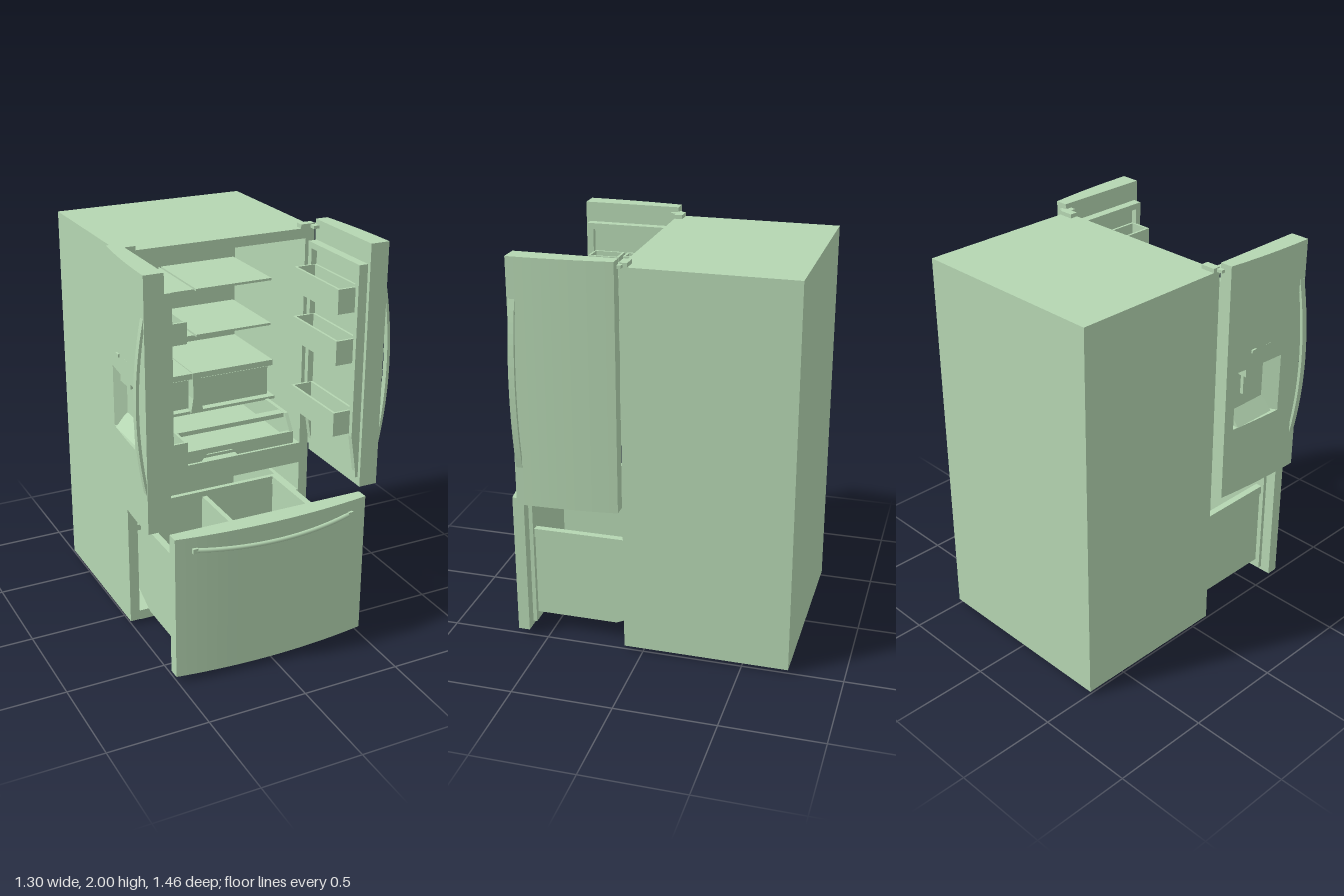
import * as THREE from 'three';

const mat = new THREE.MeshStandardMaterial({ color: 0xb5d6b2 });

function add(parent, name, geo) {
  const m = new THREE.Mesh(geo, mat);
  m.name = name;
  parent.add(m);
  return m;
}

function group(parent, name) {
  const g = new THREE.Group();
  g.name = name;
  parent.add(g);
  return g;
}

// Box given by its limits on each axis (any order)
function box(parent, name, x0, x1, y0, y1, z0, z1) {
  const g = new THREE.BoxGeometry(Math.abs(x1 - x0), Math.abs(y1 - y0), Math.abs(z1 - z0));
  return add(parent, name, g.translate((x0 + x1) / 2, (y0 + y1) / 2, (z0 + z1) / 2));
}

const extrude = (pts, depth) => new THREE.ExtrudeGeometry(
  new THREE.Shape(pts.map(p => new THREE.Vector2(p[0], p[1]))), { depth, bevelEnabled: false });

// Prisms: plan [x,z] raised along y, profile [z,y] along x, profile [x,y] along z
const prismY = (p, n, pts, y0, y1) =>
  add(p, n, extrude(pts.map(q => [q[0], -q[1]]), y1 - y0).rotateX(-Math.PI / 2).translate(0, y0, 0));
const prismX = (p, n, pts, x0, x1) =>
  add(p, n, extrude(pts, x1 - x0).rotateY(-Math.PI / 2).translate(x1, 0, 0));
const prismZ = (p, n, pts, z0, z1) =>
  add(p, n, extrude(pts, z1 - z0).translate(0, 0, z0));

// Open-topped bin
function tray(parent, name, x0, x1, y0, y1, z0, z1, t = 0.012) {
  const g = group(parent, name);
  box(g, 'floor', x0, x1, y0, y0 + t, z0, z1);
  box(g, 'sideA', x0, x0 + t, y0 + t, y1, z0, z1);
  box(g, 'sideB', x1 - t, x1, y0 + t, y1, z0, z1);
  box(g, 'back', x0 + t, x1 - t, y0 + t, y1, z0, z0 + t);
  box(g, 'front', x0 + t, x1 - t, y0 + t, y1, z1 - t, z1);
  return g;
}

const steps = (n, f) => Array.from({ length: n + 1 }, (_, i) => f(i / n));

function buildCabinet(root) {
  const g = group(root, 'cabinet');
  for (const s of [-1, 1]) {
    box(g, 'sideWall', s * 0.455, s * 0.505, 0.02, 1.96, -0.73, 0.095);
    box(g, 'topHinge', s * 0.43, s * 0.505, 1.96, 1.98, 0.055, 0.095);
    box(g, 'hingePin', s * 0.48, s * 0.535, 1.96, 1.975, 0.075, 0.13);
    box(g, 'drawerRunner', s * 0.435, s * 0.455, 0.53, 0.56, -0.6, 0.09);
  }
  box(g, 'topWall', -0.455, 0.455, 1.91, 1.96, -0.73, 0.095);
  box(g, 'compartmentDivider', -0.455, 0.455, 0.72, 0.83, -0.73, 0.095);
  box(g, 'bottomWall', -0.455, 0.455, 0.02, 0.07, -0.73, 0.095);
  box(g, 'backWall', -0.455, 0.455, 0.07, 1.91, -0.73, -0.65);
  box(g, 'plinth', -0.44, 0.44, 0, 0.02, -0.7, 0.07);

  // Rounded panel on the back of the fresh food compartment
  const p = new THREE.Shape();
  p.moveTo(-0.41, 0.84).lineTo(0.41, 0.84).lineTo(0.41, 1.83);
  p.quadraticCurveTo(0.41, 1.87, 0.37, 1.87).lineTo(-0.37, 1.87);
  p.quadraticCurveTo(-0.41, 1.87, -0.41, 1.83).lineTo(-0.41, 0.84);
  add(g, 'backPanel', new THREE.ExtrudeGeometry(p, { depth: 0.03, bevelEnabled: false }).translate(0, 0, -0.65));
}

function buildInterior(root) {
  const g = group(root, 'interior');
  box(g, 'iceMaker', -0.455, -0.29, 1.59, 1.91, -0.62, 0.03);
  box(g, 'sideVent', -0.455, -0.445, 1.3, 1.5, -0.07, -0.04);
  // Split shelves: inner gap in the middle
  for (const [y, left] of [[1.63, -0.285], [1.39, -0.43]]) {
    box(g, 'shelf', left, -0.006, y - 0.006, y + 0.006, -0.62, -0.19);
    box(g, 'shelf', 0.006, 0.43, y - 0.006, y + 0.006, -0.62, -0.19);
  }
  // Crisper section
  box(g, 'crisperLid', -0.44, 0.44, 1.165, 1.195, -0.62, -0.18);
  for (const s of [-1, 1]) {
    const a = s * 0.035, b = s * 0.42;
    tray(g, 'crisperDrawer', Math.min(a, b), Math.max(a, b), 1.0, 1.155, -0.6, -0.2);
  }
  prismZ(g, 'crisperPost', [[-0.035, 0.98], [0.035, 0.98], [0.022, 1.06], [0.022, 1.2], [-0.022, 1.2], [-0.022, 1.06]], -0.62, -0.17);
  box(g, 'crisperFloor', -0.455, 0.455, 0.975, 0.99, -0.62, -0.18);
  // Wide pantry drawer with low front and sloping sides
  for (const s of [-1, 1]) {
    const x0 = s > 0 ? 0.4 : -0.42;
    prismX(g, 'pantrySide', [[-0.6, 0.84], [0.085, 0.84], [0.085, 0.9], [0.03, 0.98], [-0.6, 0.98]], x0, x0 + 0.02);
  }
  box(g, 'pantryFloor', -0.4, 0.4, 0.84, 0.855, -0.6, 0.07);
  prismZ(g, 'pantryFront', [[-0.42, 0.835], [-0.1, 0.835], [-0.07, 0.87], [0.07, 0.87], [0.1, 0.835],
    [0.42, 0.835], [0.42, 0.9], [-0.42, 0.9]], 0.07, 0.09);
  box(g, 'pantryRail', -0.4, 0.4, 0.955, 0.978, -0.03, 0.02);
  tray(g, 'freezerBasket', -0.42, 0.42, 0.59, 0.69, -0.6, -0.16);
}

// Door standing open at a right angle; s is the side it hangs on
function buildDoor(root, s) {
  const g = group(root, s > 0 ? 'leftDoor' : 'rightDoor');
  const outer = z => 0.573 + 0.032 * (1 - (1 - (z - 0.095) / 0.495) ** 2);
  const arc = (a, b, n) => steps(n, t => a + (b - a) * t).map(z => [s * outer(z), z]);
  const inner = [[s * 0.51, 0.59], [s * 0.51, 0.095]];
  const plan = [...arc(0.095, 0.59, 12), ...inner];
  if (s > 0) prismY(g, 'doorSlab', plan, 0.785, 2);
  else {
    // Dispenser niche cut through the middle band of the door
    const niche = [...arc(0.095, 0.15, 3), [s * 0.528, 0.19], [s * 0.528, 0.41], ...arc(0.45, 0.59, 4), ...inner];
    prismY(g, 'doorSlabLower', plan, 0.785, 1.15);
    prismY(g, 'doorSlabNiche', niche, 1.15, 1.45);
    prismY(g, 'doorSlabUpper', plan, 1.45, 2);
    prismZ(g, 'dispenserSlope', [[-0.527, 1.15], [-0.585, 1.15], [-0.527, 1.22]], 0.18, 0.42);
    box(g, 'dispenserSpout', -0.575, -0.528, 1.4, 1.45, 0.23, 0.35);
    box(g, 'dispenserPaddle', -0.545, -0.528, 1.29, 1.4, 0.25, 0.33);
    for (const z of [0.24, 0.34]) box(g, 'controlButton', -0.6, -outer(z) - 0.002, 1.53, 1.545, z, z + 0.03);
  }

  // Liner: recessed panel inside a raised rim that thins toward the bottom
  box(g, 'linerPanel', s * 0.495, s * 0.51, 0.83, 1.9, 0.11, 0.57);
  const rim = [[0.51, 0.83], [0.5, 0.83], [0.465, 1.05], [0.465, 1.9], [0.51, 1.9]].map(p => [s * p[0], p[1]]);
  prismZ(g, 'linerRim', rim, 0.11, 0.14);
  prismZ(g, 'linerRim', rim, 0.54, 0.57);
  box(g, 'linerTop', s * 0.465, s * 0.495, 1.87, 1.9, 0.14, 0.54);

  // Bins
  const bin = (xa, xb, y0, y1, z0, z1) =>
    tray(g, 'doorBin', Math.min(s * xa, s * xb), Math.max(s * xa, s * xb), y0, y1, z0, z1);
  if (s > 0) for (const y of [1.06, 1.42, 1.67]) bin(0.375, 0.495, y, y + 0.12, 0.135, 0.545);
  else {
    bin(0.385, 0.495, 1.05, 1.18, 0.14, 0.545);
    bin(0.415, 0.495, 1.65, 1.75, 0.145, 0.365);
    bin(0.385, 0.495, 1.65, 1.75, 0.38, 0.545);
    prismZ(g, 'dispenserHousing', [[-0.5, 1.18], [-0.47, 1.2], [-0.45, 1.32], [-0.45, 1.48], [-0.47, 1.62], [-0.5, 1.65]], 0.19, 0.5);
  }

  // Bowed handle
  const bow = (x0, x1, y0, y1) => steps(16, t => [s * (x0 + (x1 - x0) * 4 * t * (1 - t)), y0 + (y1 - y0) * t]);
  prismZ(g, 'doorHandle', [...bow(0.606, 0.648, 0.98, 1.805), ...bow(0.594, 0.633, 0.98, 1.805).reverse()], 0.553, 0.583);
}

function buildDrawer(root) {
  const g = group(root, 'freezerDrawer');
  const face = steps(20, t => {
    const x = -0.505 + 1.01 * t;
    return [x, 0.655 + 0.04 * (1 - (x / 0.505) ** 2)];
  });
  prismY(g, 'drawerFront', [...face, [0.505, 0.597], [-0.505, 0.597]], 0.03, 0.765);
  box(g, 'drawerGasket', -0.45, 0.45, 0.05, 0.74, 0.577, 0.597);

  // Bin with a floor that rises toward the back
  const side = [[0.577, 0.095], [0.16, 0.095], [-0.11, 0.215], [-0.11, 0.53], [0.577, 0.53]];
  prismX(g, 'binSide', side, -0.425, -0.405);
  prismX(g, 'binSide', side, 0.405, 0.425);
  prismX(g, 'binFloor', [[0.577, 0.095], [0.16, 0.095], [-0.11, 0.215], [-0.11, 0.23], [0.16, 0.11], [0.577, 0.11]], -0.405, 0.405);
  prismX(g, 'binDivider', [[0.577, 0.11], [0.16, 0.11], [-0.1, 0.225], [-0.1, 0.54], [0.577, 0.54]], -0.013, 0.013);
  box(g, 'binBack', -0.405, 0.405, 0.215, 0.53, -0.11, -0.09);
  for (const s of [-1, 1]) box(g, 'binRim', s * 0.4, s * 0.434, 0.525, 0.57, -0.11, 0.577);
  box(g, 'binRimBack', -0.4, 0.4, 0.53, 0.57, -0.11, -0.085);

  // Bowed, slightly sagging handle
  const path = new THREE.CatmullRomCurve3(steps(10, t => {
    const k = 4 * t * (1 - t);
    return new THREE.Vector3(-0.42 + 0.84 * t, 0.698 - 0.018 * k, 0.668 + 0.055 * k);
  }));
  add(g, 'drawerHandle', new THREE.TubeGeometry(path, 32, 0.011, 8));
  for (const s of [-1, 1]) box(g, 'handleEnd', s * 0.4, s * 0.425, 0.686, 0.71, 0.655, 0.682);
}

export function createModel() {
  const root = new THREE.Group();
  root.name = 'refrigerator';
  buildCabinet(root);
  buildInterior(root);
  for (const s of [-1, 1]) buildDoor(root, s);
  buildDrawer(root);
  return root;
}
